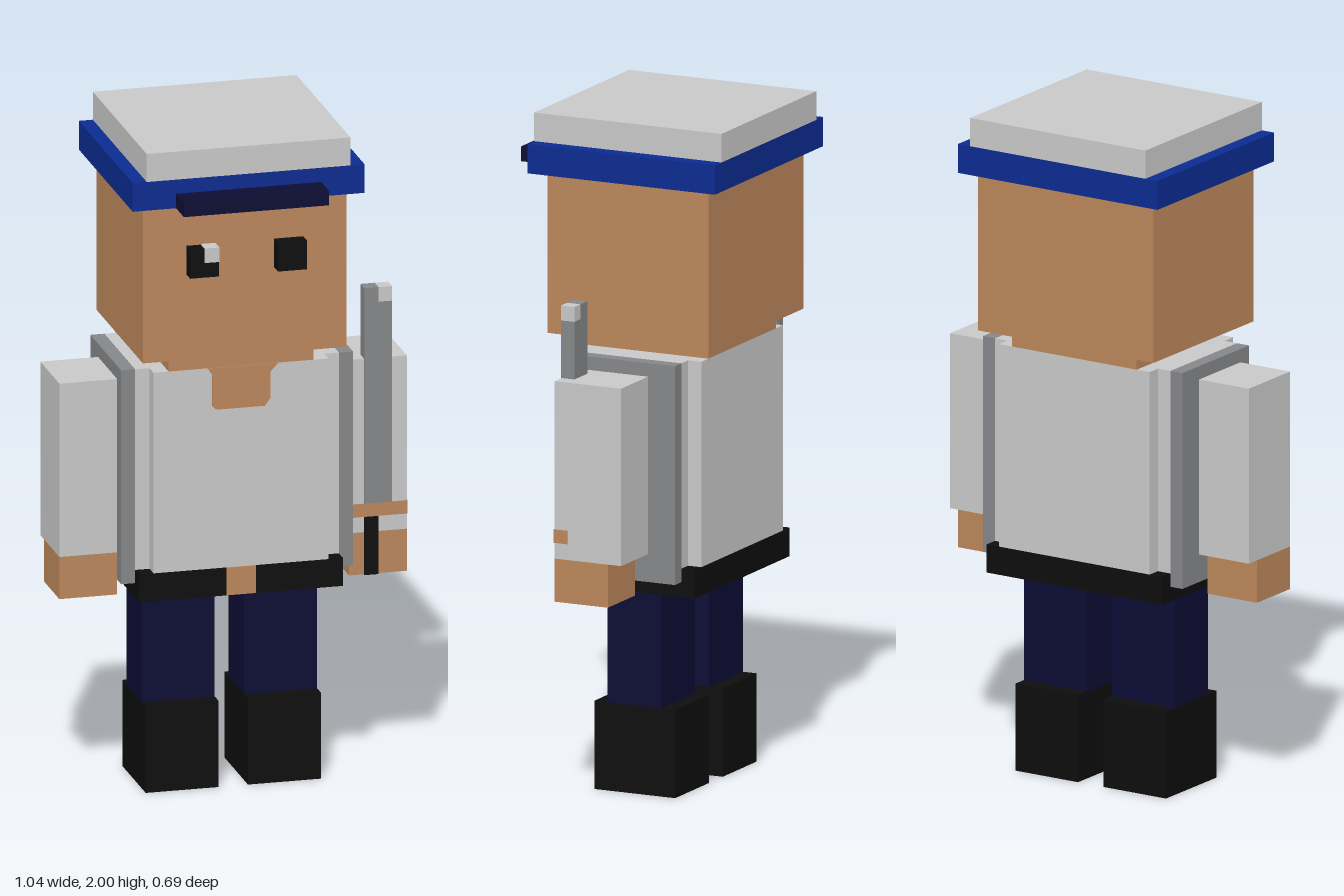
import * as THREE from 'three';

const mat = (name, color) => {
  const m = new THREE.MeshStandardMaterial({ color });
  m.name = name;
  return m;
};

export function createModel() {
  const model = new THREE.Group();
  const white = mat('white cloth', 0xc8c8c8);
  const grey = mat('grey', 0x858689);
  const skin = mat('skin', 0xbb865b);
  const blue = mat('blue', 0x0b2b90);
  const navy = mat('navy', 0x0c0c34);
  const black = mat('black', 0x0d0d0d);

  // Box given by its limits on each axis
  const box = (name, material, [x0, x1], [y0, y1], [z0, z1]) => {
    const mesh = new THREE.Mesh(new THREE.BoxGeometry(x1 - x0, y1 - y0, z1 - z0), material);
    mesh.position.set((x0 + x1) / 2, (y0 + y1) / 2, (z0 + z1) / 2);
    mesh.name = name;
    model.add(mesh);
  };
  // The same box on both sides of the body
  const pair = (name, material, [x0, x1], y, z) => {
    box(name + 'Left', material, [x0, x1], y, z);
    box(name + 'Right', material, [-x1, -x0], y, z);
  };

  // Cap
  box('capTop', white, [-0.305, 0.305], [1.915, 2], [-0.347, 0.26]);
  box('capBand', blue, [-0.347, 0.347], [1.828, 1.915], [-0.347, 0.26]);
  box('capVisor', navy, [-0.217, 0.217], [1.828, 1.872], [0.26, 0.347]);

  // Head and face
  box('head', skin, [-0.305, 0.305], [1.35, 1.828], [-0.305, 0.217]);
  pair('eye', black, [0.088, 0.175], [1.61, 1.697], [0.217, 0.26]);
  box('eyeGlint', white, [-0.132, -0.088], [1.655, 1.699], [0.217, 0.263]);
  box('neck', skin, [-0.217, 0.217], [1.305, 1.35], [-0.26, 0.175]);

  // Jacket with stepped sides
  box('jacket', white, [-0.262, 0.262], [0.695, 1.305], [-0.26, 0.175]);
  pair('jacketSide', white, [0.262, 0.305], [0.695, 1.305], [-0.217, 0.13]);
  pair('sidePanel', grey, [0.305, 0.347], [0.655, 1.305], [-0.217, 0.13]);

  // Open collar
  const collar = new THREE.Shape([
    [-0.1, 1.305], [-0.087, 1.285], [-0.087, 1.19], [-0.075, 1.178],
    [0.07, 1.178], [0.087, 1.2], [0.087, 1.28], [0.11, 1.305],
  ].map(([x, y]) => new THREE.Vector2(x, y)));
  const opening = new THREE.Mesh(
    new THREE.ExtrudeGeometry(collar, { depth: 0.004, bevelEnabled: false }), skin);
  opening.position.z = 0.174;
  opening.name = 'collarOpening';
  model.add(opening);

  // Belt
  box('belt', black, [-0.305, 0.305], [0.61, 0.695], [-0.26, 0.175]);
  box('buckle', skin, [-0.044, 0.044], [0.611, 0.695], [0.172, 0.178]);

  // Arms and hands
  pair('sleeve', white, [0.347, 0.52], [0.738, 1.265], [-0.13, 0.085]);
  pair('hand', skin, [0.347, 0.52], [0.61, 0.738], [-0.087, 0.085]);

  // Legs and boots
  pair('leg', navy, [0.044, 0.262], [0.262, 0.61], [-0.13, 0.044]);
  pair('boot', black, [0.044, 0.262], [0, 0.262], [-0.175, 0.087]);

  // Sword held in the left hand
  box('blade', grey, [0.392, 0.475], [0.825, 1.436], [0.044, 0.088]);
  box('bladeTipInner', grey, [0.392, 0.435], [1.436, 1.48], [0.044, 0.088]);
  box('bladeTipOuter', white, [0.435, 0.475], [1.436, 1.48], [0.044, 0.088]);
  box('crossguard', skin, [0.347, 0.522], [0.785, 0.825], [0.044, 0.088]);
  box('hilt', black, [0.392, 0.435], [0.608, 0.785], [0.044, 0.088]);

  return model;
}
